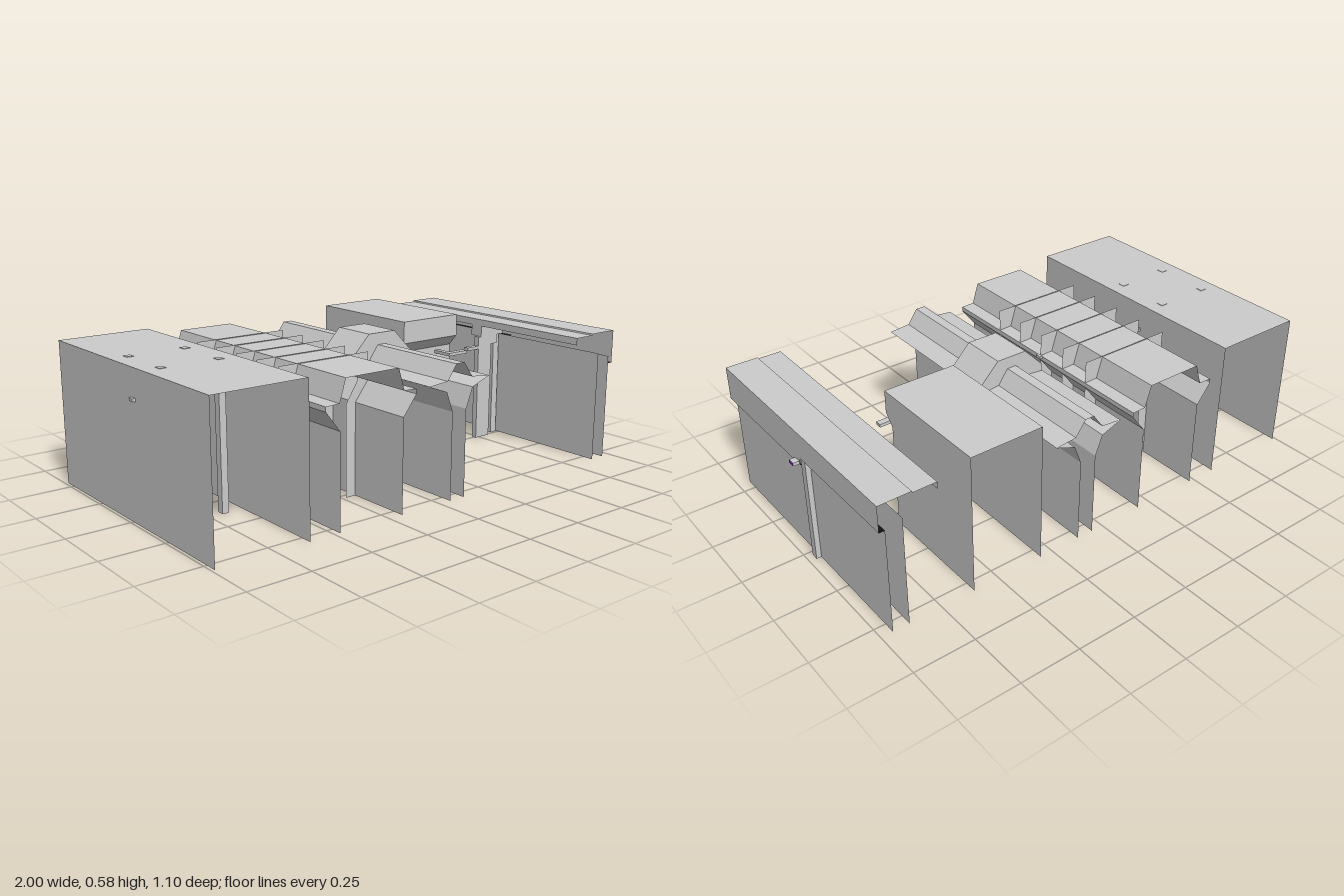
import * as THREE from 'three';

const paint = (color = 0xcccccc) =>
  new THREE.MeshStandardMaterial({ color, flatShading: true, side: THREE.DoubleSide });
const grey = paint();
const red = paint(0xe01010);
const purple = paint(0x9010c0);
const black = paint(0x111111);

export function createModel() {
  const model = new THREE.Group();

  const section = (name) => {
    const g = new THREE.Group();
    g.name = name;
    model.add(g);
    return g;
  };
  const add = (parent, name, geometry, material = grey) => {
    const mesh = new THREE.Mesh(geometry, material);
    mesh.name = name;
    parent.add(mesh);
    return mesh;
  };
  const surface = (parent, name, positions, material) => {
    const geo = new THREE.BufferGeometry();
    geo.setAttribute('position', new THREE.Float32BufferAttribute(positions, 3));
    geo.computeVertexNormals();
    return add(parent, name, geo, material);
  };
  // box given by its limits on each axis
  const box = (parent, name, [x0, x1], [y0, y1], [z0, z1], material) =>
    add(parent, name, new THREE.BoxGeometry(x1 - x0, y1 - y0, z1 - z0), material)
      .position.set((x0 + x1) / 2, (y0 + y1) / 2, (z0 + z1) / 2);

  // thin open sheet: a profile in x,y swept along z
  const sheet = (parent, name, points, z0 = -0.55, z1 = 0.55, material = grey) => {
    const pos = [];
    for (let i = 0; i + 1 < points.length; i++) {
      const [ax, ay] = points[i], [bx, by] = points[i + 1];
      pos.push(ax, ay, z1, bx, by, z1, bx, by, z0, ax, ay, z1, bx, by, z0, ax, ay, z0);
    }
    return surface(parent, name, pos, material);
  };
  const toShape = (pts) => new THREE.Shape(pts.map(([x, y]) => new THREE.Vector2(x, y)));
  // half profile (bottom to top) completed to a full one about x = centre
  const mirrored = (half, centre) => [
    ...half.map(([x, y]) => [centre - x, y]),
    ...[...half].reverse().map(([x, y]) => [centre + x, y]),
  ];
  // arch outline between an outer and an inner half profile
  const archShape = (outer, inner, centre) =>
    toShape([...mirrored(outer, centre), ...mirrored(inner, centre).reverse()]);

  // wide open cover on four posts
  const cover = section('wideCover');
  sheet(cover, 'coverShell', [[-0.988, 0], [-0.988, 0.578], [-0.607, 0.578], [-0.607, 0]]);
  for (const x of [-0.915, -0.683])
    for (const z of [-0.12, 0.117])
      box(cover, 'coverPost', [x - 0.014, x + 0.014], [0, 0.58], [z - 0.015, z + 0.015]);
  box(cover, 'coverKnob', [-1, -0.988], [0.458, 0.47], [0.035, 0.06]);
  box(cover, 'coverKnob', [-0.607, -0.597], [0.458, 0.47], [-0.08, -0.055]);

  // tunnel crossed by thin plate ribs
  const ribbed = section('ribbedTunnel');
  const bx = -0.333;
  sheet(ribbed, 'tunnelShell', mirrored([[0.144, 0], [0.144, 0.37], [0.204, 0.447],
    [0.204, 0.466], [0.146, 0.468], [0.119, 0.554]], bx));
  const ribShape = archShape([[0.204, 0], [0.204, 0.557]],
    [[0.1, 0], [0.1, 0.37], [0.152, 0.45], [0.152, 0.465], [0.112, 0.485], [0.078, 0.552]], bx);
  for (let i = 0; i < 5; i++)
    add(ribbed, 'rib', new THREE.ShapeGeometry(ribShape)).position.z = (i - 2) * 0.1375;
  for (const s of [-1, 1]) {
    const x = bx + s * 0.085, k = bx + s * 0.211;
    box(ribbed, 'redBlock', [x - 0.047, x + 0.047], [0.455, 0.487], [-0.03, 0.03], red);
    box(ribbed, 'tunnelKnob', [k - 0.007, k + 0.007], [0.458, 0.47], [-0.012, 0.012]);
  }

  // narrow tunnel with a thick band around its middle
  const banded = section('bandedTunnel');
  const cx = 0.088;
  sheet(banded, 'tunnelShell', mirrored([[0.035, 0], [0.035, 0.35], [0.066, 0.43],
    [0.152, 0.462], [0.063, 0.47], [0.02, 0.53]], cx));
  const bandShape = archShape([[0.152, 0], [0.152, 0.49], [0.066, 0.578]],
    [[0.035, 0], [0.035, 0.35], [0.066, 0.43], [0.066, 0.465], [0.05, 0.49], [0.02, 0.53]], cx);
  add(banded, 'band', new THREE.ExtrudeGeometry(bandShape, { depth: 0.19, bevelEnabled: false }))
    .position.z = -0.09;
  box(banded, 'redBlock', [cx - 0.063, cx + 0.063], [0.455, 0.487], [-0.03, 0.03], red);
  box(banded, 'redRod', [cx - 0.092, cx + 0.092], [0.462, 0.472], [0.095, 0.105], red);
  for (const s of [-1, 1]) {
    const k = cx + s * 0.16;
    box(banded, 'tunnelKnob', [k - 0.009, k + 0.009], [0.458, 0.47], [0.015, 0.04]);
  }

  // short hood, open at the back, with its lower front set back
  const hood = section('shortHood');
  const [hx0, hx1, zf, zb] = [0.305, 0.61, -0.01, -0.05];
  sheet(hood, 'hoodShell', [[hx0, 0], [hx0, 0.578], [hx1, 0.578], [hx1, 0]], -0.55, zb);
  sheet(hood, 'hoodBrow', [[hx0, 0.485], [hx0, 0.578], [hx1, 0.578], [hx1, 0.485]], zb, zf);
  const front = [[0, zb], [0.44, zb], [0.485, zf], [0.578, zf]];
  const frontPos = [];
  for (let i = 0; i < 3; i++) {
    const [ya, za] = front[i], [yb, zc] = front[i + 1];
    frontPos.push(hx0, ya, za, hx1, ya, za, hx1, yb, zc, hx0, ya, za, hx1, yb, zc, hx0, yb, zc);
  }
  // small triangles closing the brow at each side
  for (const x of [hx0, hx1]) frontPos.push(x, 0.44, zb, x, 0.485, zf, x, 0.485, zb);
  surface(hood, 'hoodFront', frontPos);
  for (const [x0, x1, s0, s1] of [[0.295, 0.4, 0.37, 0.4], [0.52, 0.625, 0.52, 0.545]]) {
    box(hood, 'hookArm', [x0, x1], [0.411, 0.424], [0.015, 0.042]);
    box(hood, 'hookStem', [s0, s1], [0.411, 0.424], [zb, 0.015]);
  }

  // long roofed side rail with hanging panels
  const rail = section('sideRail');
  const roofY = 0.547;
  sheet(rail, 'railRoof', [[0.745, roofY - 0.035], [0.745, roofY - 0.006], [0.841, roofY - 0.006],
    [0.843, roofY], [0.975, roofY]]);
  // outer lip in two lengths, each with a dark strip under it
  for (const [y, z0, z1] of [[0.41, -0.02, 0.55], [0.44, -0.55, -0.02]]) {
    sheet(rail, 'railLip', [[0.975, roofY], [0.975, y]], z0, z1);
    sheet(rail, 'darkStrip', [[0.975, y], [0.952, y]], z0, z1, black);
  }
  sheet(rail, 'innerPanel', [[0.885, 0], [0.885, 0.46]]);
  sheet(rail, 'outerPanel', [[0.952, 0], [0.952, 0.44]]);
  box(rail, 'outerPost', [0.943, 0.972], [0, 0.44], [-0.05, -0.02]);
  box(rail, 'innerPost', [0.845, 0.878], [0, 0.468], [-0.04, -0.01]);
  box(rail, 'bracketLeg', [0.73, 0.785], [0, 0.465], [-0.015, 0.01]);
  box(rail, 'bracketLeg', [0.785, 0.81], [0, 0.425], [-0.015, 0.01]);
  box(rail, 'bracketShoulder', [0.785, 0.845], [0.425, 0.468], [-0.015, 0.01]);
  const head = toShape([[0.745, 0.465], [0.88, 0.465], [0.88, 0.487], [0.848, 0.513],
    [0.745, 0.513]]);
  add(rail, 'bracketHead', new THREE.ExtrudeGeometry(head, { depth: 0.06, bevelEnabled: false }))
    .position.z = -0.05;
  box(rail, 'bracketArm', [0.665, 0.74], [0.411, 0.424], [-0.015, 0.01]);
  box(rail, 'railKnob', [0.955, 0.999], [0.411, 0.424], [-0.012, 0.018]);
  sheet(rail, 'knobFace', [[1, 0.411], [1, 0.424]], -0.012, 0.018, purple);

  return model;
}
